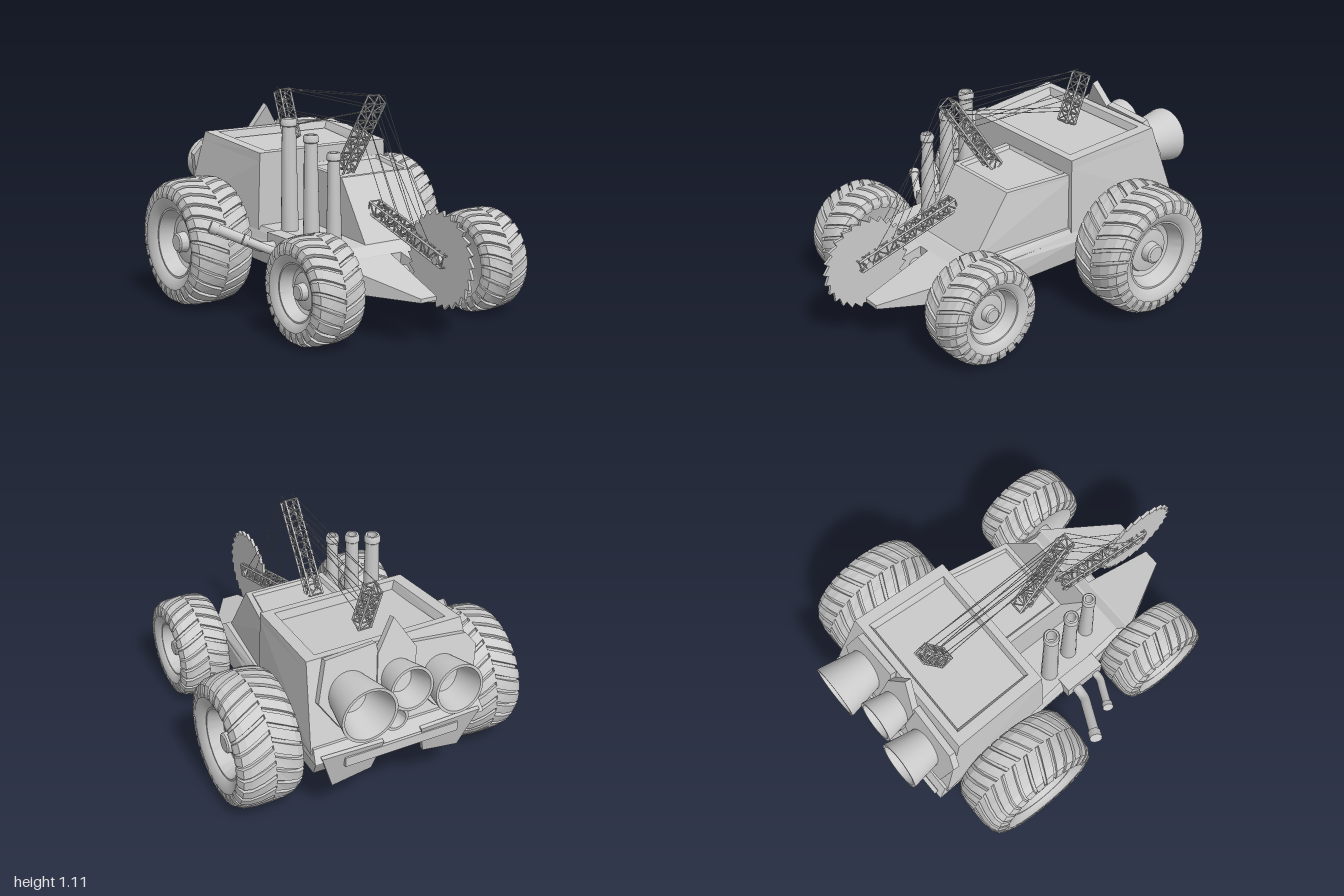
import * as THREE from 'three';
import { mergeGeometries, toCreasedNormals } from 'three/addons/utils/BufferGeometryUtils.js';
import { ConvexGeometry } from 'three/addons/geometries/ConvexGeometry.js';

const mat = new THREE.MeshStandardMaterial({ color: 0xcccccc, side: THREE.DoubleSide });
const V = (x, y, z) => new THREE.Vector3(x, y, z);

function add(parent, name, geo) {
  const m = new THREE.Mesh(geo, mat);
  m.name = name;
  parent.add(m);
  return m;
}
// convex block through a set of corners
const hull = (pts) => new ConvexGeometry(pts);
// corners mirrored in x from [halfWidth, y, z]
const mirrored = (list) => list.flatMap(([x, y, z]) => [V(x, y, z), V(-x, y, z)]);
const lathe = (pts, seg = 40) =>
  toCreasedNormals(new THREE.LatheGeometry(pts.map(([r, y]) => new THREE.Vector2(r, y)), seg), 0.55);

// thin rod between two points
function rod(a, b, r, sides = 5) {
  const d = b.clone().sub(a);
  const g = new THREE.CylinderGeometry(r, r, d.length(), sides);
  g.applyQuaternion(new THREE.Quaternion().setFromUnitVectors(V(0, 1, 0), d.normalize()));
  return g.translate((a.x + b.x) / 2, (a.y + b.y) / 2, (a.z + b.z) / 2);
}

// square lattice beam with zigzag bracing on four sides
function truss(a, b, half, cells) {
  const side = V(1, 0, 0);
  const up = b.clone().sub(a).normalize().cross(side);
  const corners = [[-1, -1], [1, -1], [1, 1], [-1, 1]];
  const at = (c, t) => a.clone().lerp(b, t)
    .addScaledVector(side, corners[c % 4][0] * half).addScaledVector(up, corners[c % 4][1] * half);
  const rods = [];
  for (let c = 0; c < 4; c++) {
    rods.push(rod(at(c, 0), at(c, 1), 0.006));
    for (let i = 0; i <= cells; i++) {
      const t = i / cells;
      rods.push(rod(at(c, t), at(c + 1, t), 0.004));
      if (i < cells) rods.push(rod(at(c + (i % 2), t), at(c + 1 - (i % 2), t + 1 / cells), 0.004));
    }
  }
  return mergeGeometries(rods);
}

// block with a sunken top: bottom and top are four corners in ring order
function tray(bottom, top, inset, depth) {
  const centre = top.reduce((s, p) => s.add(p), V(0, 0, 0)).multiplyScalar(0.25);
  const low = top.map((p, i) => p.clone().lerp(bottom[i], depth));
  const inner = top.map((p) => p.clone().lerp(centre, inset));
  const drop = top[0].y - low[0].y;
  const innerLow = top.map((p) => p.clone().lerp(centre, inset + 0.05).setY(p.y - drop));
  const parts = [hull([...bottom, ...low])];
  for (let i = 0; i < 4; i++) {
    const j = (i + 1) % 4;
    parts.push(hull([top[i], top[j], low[i], low[j], inner[i], inner[j], innerLow[i], innerLow[j]]));
  }
  return mergeGeometries(parts);
}

// one half of a chevron tread bar, swept from the middle of the tyre to its shoulder
function lug(R, w, side, angle, lag, halfAngle) {
  const rows = [[0, 1, 1], [0.4, 0.995, 1], [0.72, 0.965, 1], [0.92, 0.905, 0.9], [1, 0.82, 0.2]];
  const pos = [], idx = [];
  rows.forEach(([u, k, h]) => {
    const r = (R - 0.016) * k, x = u * w * side, a = angle + lag * u;
    [[r - 0.02, -1], [r + 0.016 * h, -0.85], [r + 0.016 * h, 0.85], [r - 0.02, 1]].forEach(([q, s]) =>
      pos.push(x, q * Math.cos(a + s * halfAngle), q * Math.sin(a + s * halfAngle)));
  });
  for (let i = 0; i < rows.length - 1; i++) for (let c = 0; c < 4; c++) {
    const p = i * 4 + c, q = i * 4 + (c + 1) % 4;
    if (side > 0) idx.push(p, q, p + 4, q, q + 4, p + 4);
    else idx.push(p, p + 4, q, q, p + 4, q + 4);
  }
  idx.push(0, 2, 1, 0, 3, 2, 16, 17, 18, 16, 18, 19);
  const g = new THREE.BufferGeometry();
  g.setAttribute('position', new THREE.Float32BufferAttribute(pos, 3));
  g.setIndex(idx);
  const flat = g.toNonIndexed();
  flat.computeVertexNormals();
  return flat;
}

function wheel(name, R, w, count, side) {
  const g = new THREE.Group();
  g.name = name;
  const c = R - 0.016;
  const profile = [[0, -0.8], [0.55, -0.82], [0.68, -0.93], [0.82, -0.97], [0.9, -0.9], [0.96, -0.72], [0.995, -0.4],
    [1, 0], [0.995, 0.4], [0.96, 0.72], [0.9, 0.9], [0.82, 0.97], [0.72, 0.95], [0.62, 0.86], [0.58, 0.8], [0.55, 0.8],
    [0.46, 0.35], [0.38, 0.3], [0.36, 0.4], [0.2, 0.45], [0.17, 0.45], [0.16, 0.7], [0.13, 0.74], [0, 0.74]];
  add(g, 'tyreAndRim', lathe(profile.map(([r, x]) => [r * c, x * w]), 48).rotateZ(-Math.PI / 2));
  const pitch = Math.PI * 2 / count, bars = [];
  for (let i = 0; i < count; i++) for (const s of [-1, 1])
    bars.push(lug(R, w, s, (i + (s > 0 ? 0.5 : 0)) * pitch, -side * 0.24, pitch * 0.42));
  add(g, 'treadBars', mergeGeometries(bars));
  if (side < 0) g.rotation.y = Math.PI;
  return g;
}

export function createModel() {
  const model = new THREE.Group();

  // wheels and axles
  for (const s of [1, -1]) {
    const tag = s > 0 ? 'Left' : 'Right';
    const front = wheel('front' + tag + 'Wheel', 0.262, 0.133, 24, s);
    front.position.set(s * 0.496, 0.264, 0.45);
    const rear = wheel('rear' + tag + 'Wheel', 0.328, 0.165, 28, s);
    rear.position.set(s * 0.597, 0.33, -0.48);
    model.add(front, rear);
  }
  add(model, 'frontAxle', rod(V(-0.42, 0.264, 0.45), V(0.42, 0.264, 0.45), 0.04, 16));
  add(model, 'rearAxle', rod(V(-0.5, 0.33, -0.48), V(0.5, 0.33, -0.48), 0.05, 16));

  // chassis: lower hull, stepped upper deck, split wedge nose, keel box
  add(model, 'lowerHull', hull(mirrored([[0.36, 0.225, 0.42], [0.36, 0.36, 0.42], [0.39, 0.245, -0.2],
    [0.41, 0.36, -0.2], [0.41, 0.27, -0.8], [0.44, 0.42, -0.88], [0.43, 0.36, -0.86]])));
  add(model, 'deck', hull(mirrored([[0.355, 0.355, 0.42], [0.33, 0.4, 0.355], [0.385, 0.43, -0.2],
    [0.41, 0.355, -0.2], [0.44, 0.46, -0.86], [0.45, 0.4, -0.9]])));
  for (const s of [1, -1])
    add(model, s > 0 ? 'leftNose' : 'rightNose', hull([[0.36, 0.225, 0.42], [0.36, 0.36, 0.42], [0.03, 0.225, 0.42],
      [0.03, 0.36, 0.42], [0.15, 0.225, 0.81], [0.15, 0.245, 0.81], [0.06, 0.225, 0.81], [0.06, 0.245, 0.81]]
      .map(([x, y, z]) => V(s * x, y, z))));
  add(model, 'keelBox', hull([V(-0.25, 0.2, 0.15), V(-0.25, 0.205, -0.03), V(-0.31, 0.235, 0.17),
    V(-0.19, 0.235, 0.17), V(-0.31, 0.25, -0.2), V(-0.19, 0.25, -0.2)]));
  add(model, 'exhaustBox', new THREE.BoxGeometry(0.08, 0.1, 0.22)).position.set(-0.395, 0.38, 0.05);

  // hood and cabin with sunken roofs
  add(model, 'hood', tray([V(-0.125, 0.4, 0.34), V(0.305, 0.4, 0.34), V(0.375, 0.42, -0.22), V(-0.125, 0.42, -0.22)],
    [V(-0.125, 0.7, 0.14), V(0.305, 0.7, 0.14), V(0.37, 0.72, -0.22), V(-0.125, 0.72, -0.22)], 0.12, 0.06));
  add(model, 'cabin', tray([V(-0.4, 0.41, -0.2), V(0.4, 0.41, -0.2), V(0.45, 0.43, -0.855), V(-0.45, 0.43, -0.855)],
    [V(-0.385, 0.8, -0.2), V(0.385, 0.8, -0.2), V(0.405, 0.845, -0.72), V(-0.405, 0.845, -0.72)], 0.15, 0.11));

  // angled armour plates behind the cabin
  const plates = {
    leftPlate: [[0.07, 0.87], [0.33, 0.855], [0.39, 0.66], [0.3, 0.52], [0.1, 0.55], [0.05, 0.7]],
    middlePlate: [[-0.03, 0.97], [0.07, 0.82], [0.1, 0.62], [0.04, 0.48], [-0.08, 0.5], [-0.13, 0.8]],
    rightPlate: [[-0.4, 0.79], [-0.12, 0.82], [-0.1, 0.6], [-0.2, 0.48], [-0.4, 0.5], [-0.45, 0.72]],
  };
  Object.entries(plates).forEach(([name, pts], i) => {
    const shape = new THREE.Shape(pts.map(([x, y]) => new THREE.Vector2(x, y - 0.84)));
    const m = add(model, name, new THREE.ExtrudeGeometry(shape, { depth: 0.035, bevelEnabled: false }));
    m.rotation.x = 0.27;
    m.position.set(0, 0.84, -0.765 - (i === 1 ? 0.008 : 0));
  });

  // flared thrusters: x, y, start z, length, base radius, mouth radius, upward tilt
  [['leftThruster', 0.23, 0.675, -0.77, 0.23, 0.1, 0.142, 0],
    ['rightThruster', -0.25, 0.625, -0.78, 0.2, 0.095, 0.126, 0.1],
    ['middleThruster', -0.02, 0.68, -0.76, 0.18, 0.08, 0.112, 0.1],
    ['smallThruster', 0.05, 0.545, -0.78, 0.15, 0.045, 0.062, 0]].forEach(([name, x, y, z, L, a, b, tilt]) => {
    const m = add(model, name, lathe([[0, 0], [a, 0], [b, L - 0.012], [b, L], [b - 0.014, L], [a - 0.015, 0.05], [0, 0.05]]));
    m.position.set(x, y, z);
    m.rotation.x = tilt - Math.PI / 2;
  });

  // hanging rear bumper plates
  for (const s of [1, -1])
    add(model, s > 0 ? 'leftBumper' : 'rightBumper', hull([[0.1, 0.42, -0.91], [0.42, 0.43, -0.91], [0.34, 0.21, -0.855],
      [0.14, 0.25, -0.865]].flatMap(([x, y, z]) => [V(s * x, y, z), V(s * x, y + 0.004, z + 0.02)])));
  add(model, 'bumperBracket', new THREE.BoxGeometry(0.6, 0.05, 0.1)).position.set(0, 0.37, -0.86);

  // three tall stacks on the right side
  [[-0.23, 0.225, 0.85], [-0.265, 0.08, 0.92], [-0.295, -0.07, 0.985]].forEach(([x, z, top], i) => {
    const h = top - 0.36, r = 0.029 + i * 0.003;
    add(model, 'stack' + (i + 1), lathe([[0, 0], [r + 0.02, 0], [r + 0.02, 0.025], [r + 0.01, 0.035], [r, h - 0.04],
      [r + 0.006, h - 0.035], [r + 0.006, h - 0.012], [r, h], [r - 0.01, h], [r - 0.01, h - 0.12], [0, h - 0.12]], 20))
      .position.set(x, 0.36, z);
  });

  // bent exhaust pipes sticking out to the right
  [[[-0.4, 0.37, 0.0], [-0.5, 0.375, -0.01], [-0.55, 0.4, -0.035], [-0.72, 0.485, -0.125]],
    [[-0.4, 0.36, 0.12], [-0.47, 0.365, 0.12], [-0.52, 0.385, 0.095], [-0.63, 0.44, 0.035]]].forEach((pts, i) => {
    const p = pts.map((q) => V(...q)), r = 0.026 - i * 0.005;
    const path = new THREE.CatmullRomCurve3(p);
    add(model, 'sidePipe' + (i + 1), new THREE.TubeGeometry(path, 24, r, 14));
    add(model, 'pipeTip' + (i + 1), rod(p[3].clone().lerp(p[2], 0.2), p[3], r + 0.006, 16));
  });

  // crane masts, saw arm and rigging
  add(model, 'frontMast', truss(V(0, 0.69, -0.02), V(0, 1.09, 0.26), 0.032, 9));
  add(model, 'rearMast', truss(V(0, 0.8, -0.5), V(0, 1.045, -0.595), 0.032, 5));
  add(model, 'sawArm', truss(V(0, 0.4, 0.81), V(0, 0.56, 0.24), 0.03, 11));
  const cables = [];
  for (const x of [-0.03, 0.03]) {
    [[[1.11, 0.28], [0.5, 0.62]], [[1.08, 0.24], [0.46, 0.72]], [[1.02, 0.2], [0.53, 0.5]], [[0.95, 0.15], [0.55, 0.38]],
      [[1.11, 0.28], [1.055, -0.56]], [[1.05, 0.22], [1.06, -0.6]], [[1.04, 0.24], [0.87, -0.5]],
      [[0.95, 0.15], [0.94, -0.53]]].forEach(([a, b]) => cables.push(rod(V(x, ...a), V(x, ...b), 0.002, 4)));
  }
  add(model, 'cables', mergeGeometries(cables));

  // toothed saw blade
  const teeth = 26, blade = new THREE.Shape();
  for (let i = 0; i < teeth; i++) {
    const a = (i / teeth) * Math.PI * 2, b = a + Math.PI * 2 / teeth * 0.85;
    if (i) blade.lineTo(0.212 * Math.cos(a), 0.212 * Math.sin(a));
    else blade.moveTo(0.212, 0);
    blade.lineTo(0.237 * Math.cos(b), 0.237 * Math.sin(b));
  }
  blade.closePath();
  const bladeGeo = new THREE.ExtrudeGeometry(blade, { depth: 0.016, bevelEnabled: false }).translate(0, 0, -0.008);
  add(model, 'sawBlade', bladeGeo.rotateY(Math.PI / 2)).position.set(0, 0.4, 0.763);
  add(model, 'sawHub', rod(V(-0.04, 0.4, 0.765), V(0.04, 0.4, 0.765), 0.02, 14));

  return model;
}
